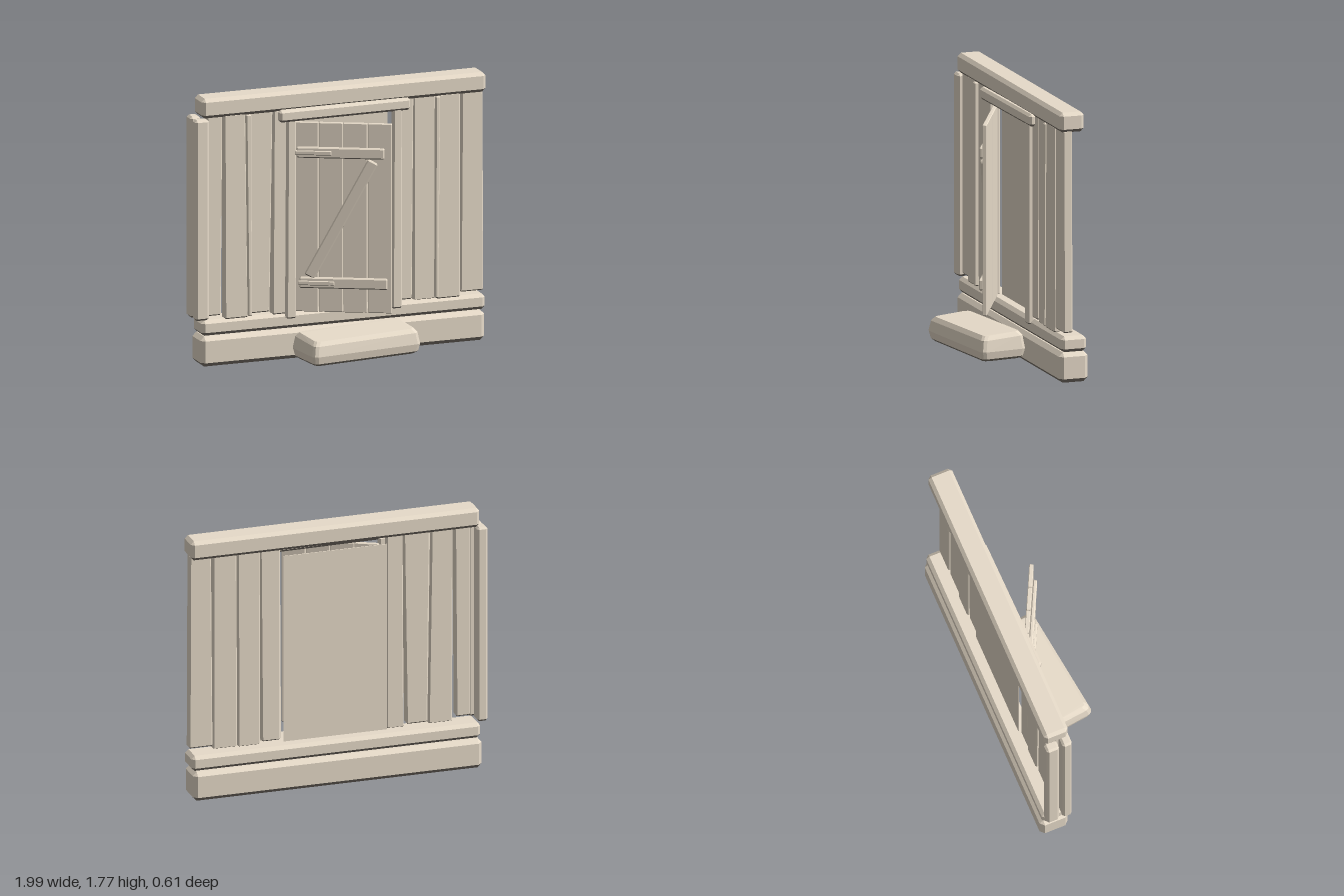
import * as THREE from 'three';
import { ConvexGeometry } from 'three/addons/geometries/ConvexGeometry.js';

function material(name, color) {
  const m = new THREE.MeshStandardMaterial({ color, flatShading: true });
  m.name = name;
  return m;
}
const wood = material('weathered wood', 0xe7dbc9);
const damp = material('damp underside', 0x837b71);

// Solid hull of the points; its downward faces take the underside colour
function solid(name, points) {
  const geometry = new ConvexGeometry(points);
  const normals = geometry.getAttribute('normal');
  for (let i = 0; i < normals.count; i += 3) {
    geometry.addGroup(i, 3, normals.getY(i) < -0.5 ? 1 : 0);
  }
  const mesh = new THREE.Mesh(geometry, [wood, damp]);
  mesh.name = name;
  return mesh;
}

// Chamfered block; bottom and top x ranges may differ so boards can taper
function timber(name, [b0, b1], [y0, y1], [z0, z1], chamfer = 0.008, [t0, t1] = [b0, b1]) {
  const points = [];
  for (const sx of [0, 1]) for (const sy of [0, 1]) for (const sz of [0, 1]) {
    for (let axis = 0; axis < 3; axis++) {
      const inset = [0, 1, 2].map((i) => (i === axis ? 0 : chamfer));
      const y = sy ? y1 - inset[1] : y0 + inset[1];
      const k = (y - y0) / (y1 - y0);
      const left = b0 + (t0 - b0) * k, right = b1 + (t1 - b1) * k;
      points.push(new THREE.Vector3(
        sx ? right - inset[0] : left + inset[0], y,
        sz ? z1 - inset[2] : z0 + inset[2]));
    }
  }
  return solid(name, points);
}

// Worn stone slab built from stacked rings with cut corners
function doorStep() {
  const points = [];
  const rings = [[0.045, 0.03], [0.062, 0.01], [0.11, 0], [0.185, 0.012], [0.212, 0.034]];
  for (const [y, inset] of rings) {
    const w = 0.39 - inset, d = 0.16 - inset, c = 0.03;
    for (const sx of [-1, 1]) for (const sz of [-1, 1]) {
      const lift = y > 0.15 ? -sz * 0.006 + sx * 0.003 : 0;
      points.push(new THREE.Vector3(sx * (w - c), y + lift, sz * d));
      points.push(new THREE.Vector3(sx * (w - c * 0.3), y + lift, sz * (d - c * 0.3)));
      points.push(new THREE.Vector3(sx * w, y + lift, sz * (d - c)));
    }
  }
  const mesh = solid('doorStep', points);
  mesh.position.set(0.025, 0, 0.1);
  mesh.rotation.y = 0.125;
  return mesh;
}

// Open door: four boards, two straps, hinges and a diagonal brace
function door() {
  const group = new THREE.Group();
  group.name = 'door';
  const width = 0.157;
  for (let i = 0; i < 4; i++) {
    group.add(timber('doorBoard', [i * width, (i + 1) * width - 0.003], [0.31, 1.56], [-0.028, 0], 0.004));
  }
  for (const [u, y] of [[0.015, 1.33], [0.035, 0.47]]) {
    group.add(timber('doorStrap', [u, u + 0.565], [y, y + 0.072], [-0.002, 0.026], 0.008));
    group.add(timber('hinge', [u - 0.008, u + 0.225], [y + 0.022, y + 0.05], [0.015, 0.035], 0.004));
  }
  const brace = timber('doorBrace', [-0.036, 0.036], [-0.435, 0.435], [-0.002, 0.024], 0.008);
  brace.position.set(0.302, 0.93, 0);
  brace.rotation.z = -Math.atan2(0.405, 0.76);
  group.add(brace);
  group.position.set(-0.31, 0, -0.135);
  group.rotation.y = -0.463;
  return group;
}

export function createModel() {
  const model = new THREE.Group();
  model.name = 'timberWallWithDoor';

  // Horizontal beams
  model.add(
    timber('bottomBeam', [-0.952, 0.992], [0, 0.198], [-0.31, -0.115], 0.027),
    timber('sillBeam', [-0.945, 0.998], [0.202, 0.305], [-0.295, -0.125], 0.022),
    timber('topBeam', [-0.945, 0.998], [1.64, 1.77], [-0.28, -0.115], 0.022));

  // Wall boards: bottom x range, top x range, bottom y, back z
  const boards = [
    [[-0.905, -0.81], [-0.905, -0.8], 0.33, -0.2],
    [[-0.785, -0.625], [-0.79, -0.645], 0.3, -0.195],
    [[-0.615, -0.475], [-0.63, -0.455], 0.32, -0.205],
    [[-0.46, -0.345], [-0.452, -0.345], 0.3, -0.195],
    [[0.375, 0.497], [0.375, 0.508], 0.315, -0.198],
    [[0.512, 0.66], [0.51, 0.662], 0.3, -0.205],
    [[0.662, 0.825], [0.666, 0.826], 0.3, -0.195],
    [[0.83, 0.988], [0.84, 0.983], 0.328, -0.202],
  ];
  for (const [bottom, top, y, z] of boards) {
    model.add(timber('wallBoard', bottom, [y, 1.65], [z, z + 0.062], 0.008, top));
  }

  // Narrow battens over two joints
  model.add(
    timber('batten', [-0.63, -0.605], [0.31, 1.64], [-0.17, -0.115], 0.006, [-0.645, -0.61]),
    timber('batten', [0.65, 0.672], [0.31, 1.64], [-0.17, -0.12], 0.006, [0.655, 0.685]));

  // Paired posts at one end
  model.add(
    timber('endPost', [-0.995, -0.9], [0.31, 1.635], [-0.175, -0.11], 0.014),
    timber('endPost', [-0.995, -0.925], [0.31, 1.64], [-0.285, -0.2], 0.014));

  // Flat panel closing the doorway
  const panel = new THREE.Mesh(new THREE.BoxGeometry(0.695, 1.275, 0.006), wood);
  panel.name = 'doorwayPanel';
  panel.position.set(0.008, 0.9375, -0.207);
  model.add(panel);

  // Door frame
  for (const [x0, x1] of [[-0.375, -0.305], [0.35, 0.42]]) {
    model.add(timber('doorPost', [x0, x1], [0.27, 1.6], [-0.15, -0.105], 0.01, [x0 + 0.008, x1 - 0.003]));
  }
  const lintel = timber('lintel', [-0.452, 0.452], [1.575, 1.655], [-0.025, 0.025], 0.016);
  lintel.position.set(0.022, 0, -0.113);
  lintel.rotation.y = 0.016;
  model.add(lintel);

  model.add(door(), doorStep());
  return model;
}
